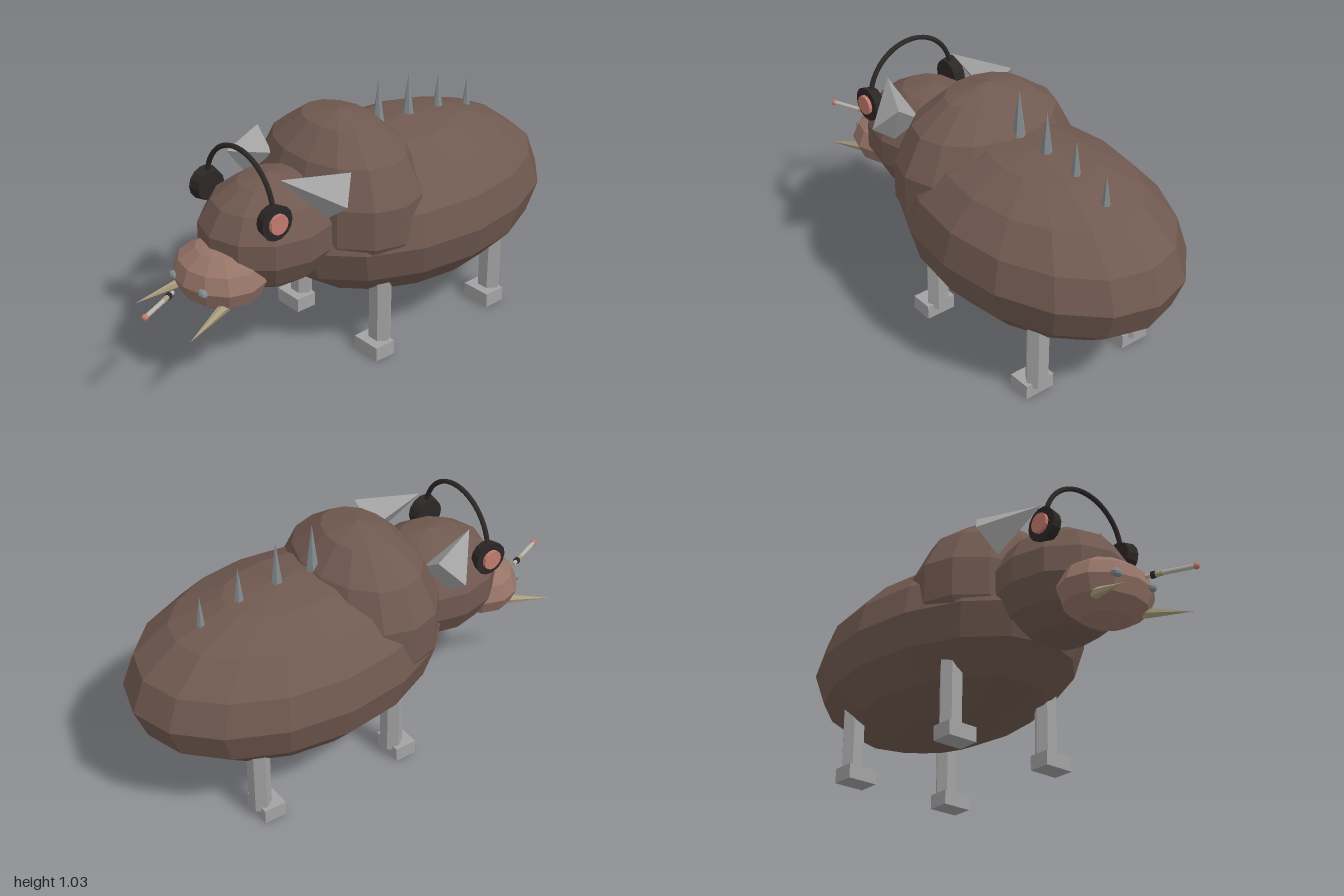
import * as THREE from 'three';
import { ConvexGeometry } from 'three/addons/geometries/ConvexGeometry.js';

function material(name, color) {
  const m = new THREE.MeshStandardMaterial({ color, flatShading: true });
  m.name = name;
  return m;
}

export function createModel() {
  const group = new THREE.Group();
  const hide = material('brown hide', 0x705950);
  const muzzle = material('light brown', 0x967468);
  const stone = material('light grey', 0xa2a2a2);
  const steel = material('steel grey', 0x838a8d);
  const ivory = material('ivory', 0xa89d7e);
  const black = material('black', 0x2b2725);
  const pink = material('dusty pink', 0xc27a6e);
  const paper = material('paper', 0xb8b2a8);

  const V = (x, y, z) => new THREE.Vector3(x, y, z);

  function add(name, geometry, mat, x = 0, y = 0, z = 0) {
    const mesh = new THREE.Mesh(geometry, mat);
    mesh.name = name;
    mesh.position.set(x, y, z);
    group.add(mesh);
    return mesh;
  }

  function ellipsoid(name, mat, centre, radii, w, h) {
    const geometry = new THREE.SphereGeometry(1, w, h);
    geometry.scale(...radii);
    return add(name, geometry, mat, ...centre);
  }

  // Tapered rod running between two points
  function rod(name, mat, from, to, r0, r1, sides) {
    const dir = to.clone().sub(from);
    const mesh = add(name, new THREE.CylinderGeometry(r1, r0, dir.length(), sides), mat);
    mesh.position.copy(from).add(to).multiplyScalar(0.5);
    mesh.quaternion.setFromUnitVectors(V(0, 1, 0), dir.normalize());
    return mesh;
  }

  // Body masses
  ellipsoid('body', hide, [0, 0.51, -0.33], [0.455, 0.338, 0.67], 16, 8);
  ellipsoid('shoulders', hide, [0, 0.618, 0], [0.395, 0.358, 0.285], 14, 7);
  ellipsoid('head', hide, [0, 0.588, 0.35], [0.256, 0.228, 0.29], 12, 7);
  ellipsoid('snout', muzzle, [0, 0.477, 0.59], [0.2, 0.125, 0.17], 12, 6);

  // Spikes along the back: z, tip height
  for (const [z, tip] of [[-0.205, 1.035], [-0.365, 1.015], [-0.53, 0.97], [-0.695, 0.908]]) {
    add('backSpike', new THREE.ConeGeometry(0.027, 0.2, 6), steel, 0, tip - 0.1, z);
  }

  // Thin mark on the right shoulder
  const mark = ellipsoid('shoulderMark', pink, [-0.25, 0.765, -0.212], [0.035, 0.008, 0.01], 6, 4);
  mark.rotation.z = 0.3;

  for (const s of [1, -1]) {
    // Legs and feet
    for (const [name, z] of [['front', 0], ['back', -0.62]]) {
      const leg = new THREE.CylinderGeometry(0.05, 0.05, 0.33, 6);
      leg.rotateY(Math.PI / 6);
      leg.scale(1, 1, 0.85);
      add(name + 'Leg', leg, stone, s * 0.243, 0.205, z - 0.004);
      add(name + 'Foot', new THREE.BoxGeometry(0.13, 0.06, 0.094), stone, s * 0.243, 0.03, z + 0.024);
    }

    // Pyramid ears pointing forward
    const ear = [V(0.16, 0.865, 0.42), V(0.277, 0.862, 0.18), V(0.348, 0.77, 0.26),
      V(0.242, 0.686, 0.265), V(0.167, 0.782, 0.195)];
    add('ear', new ConvexGeometry(ear.map(p => V(s * p.x, p.y, p.z))), stone);

    // Nostrils and tusks
    ellipsoid('nostril', steel, [s * 0.09, 0.479, 0.735], [0.026, 0.018, 0.018], 8, 6);
    rod('tusk', ivory, V(s * 0.125, 0.413, 0.66), V(s * 0.176, 0.364, 0.862), 0.022, 0, 6);

    // Headphone cups
    const cup = new THREE.CylinderGeometry(0.061, 0.07, 0.046, 14);
    cup.rotateZ(s * Math.PI / 2);
    add('headphoneCup', cup, black, s * 0.199, 0.735, 0.485);
    const pad = new THREE.CylinderGeometry(0.04, 0.04, 0.03, 14);
    pad.rotateZ(Math.PI / 2);
    add('headphoneDisc', pad, pink, s * 0.221, 0.735, 0.485);
  }

  // Headphone band
  add('headphoneBand', new THREE.TorusGeometry(0.199, 0.01, 8, 28, Math.PI), black, 0, 0.757, 0.485);

  // Little rolled stick held before the snout
  const from = V(-0.008, 0.466, 0.8);
  const to = V(0.068, 0.466, 0.975);
  const at = t => from.clone().lerp(to, t);
  rod('stick', paper, from, to, 0.009, 0.009, 8);
  rod('stickFilter', ivory, at(0.2), at(0.34), 0.0105, 0.0105, 8);
  rod('stickRing', black, at(0.11), at(0.2), 0.0135, 0.0135, 8);
  ellipsoid('stickTip', pink, to.toArray(), [0.013, 0.013, 0.013], 8, 6);

  return group;
}
